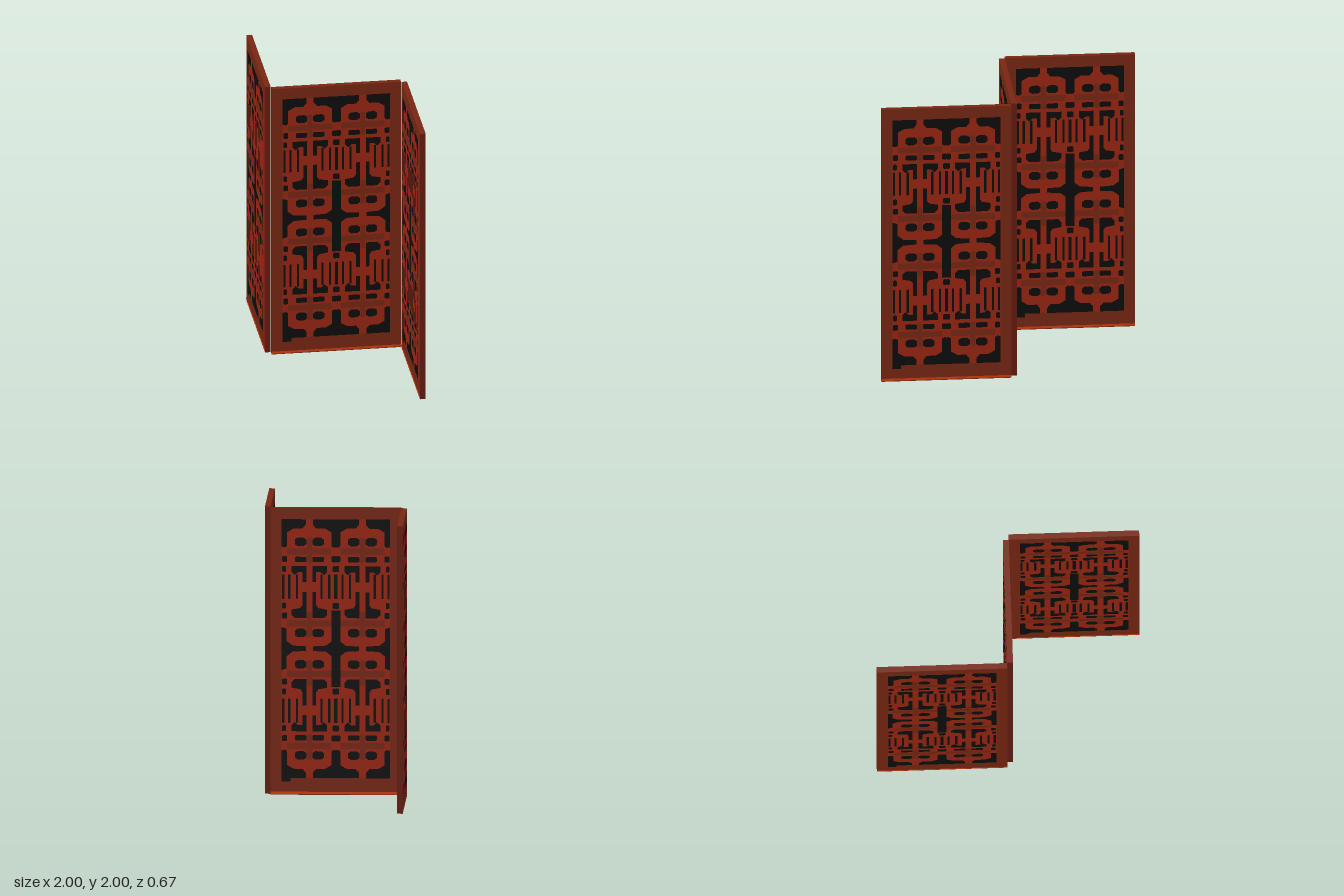
import * as THREE from 'three';
import { mergeGeometries } from 'three/addons/utils/BufferGeometryUtils.js';

const W = 0.9, H = 2, T = 0.04;

const mat = (name, color) => {
  const m = new THREE.MeshStandardMaterial({ color });
  m.name = name;
  return m;
};

// Pattern units: a panel face spans u 0..119 and v 0..375 (v runs downward)
const point = ([u, v]) => new THREE.Vector2((u / 119 - 0.5) * W, H - (v / 375) * H);

// Rectangle with cut corners
const rect = (u0, v0, u1, v1, c = 1) => [
  [u0 + c, v0], [u1 - c, v0], [u1, v0 + c], [u1, v1 - c],
  [u1 - c, v1], [u0 + c, v1], [u0, v1 - c], [u0, v0 + c],
];

// Adds mirrored copies of outlines about a line of constant u or v
const mirrorU = (list, c) => [...list, ...list.map((o) => o.map(([u, v]) => [2 * c - u, v]))];
const mirrorV = (list, c) => [...list, ...list.map((o) => o.map(([u, v]) => [u, 2 * c - v]))];

// The fretwork has two columns, two rows, and each column is symmetric too
const COLUMN = 35.25, CENTRE_U = 59.5, CENTRE_V = 184, KNOT_V = 104;
const repeat = (list) => mirrorV(mirrorU(mirrorU(list, COLUMN), CENTRE_U), CENTRE_V);

// Flat painted layer made from outlines
function layer(outlines, lift) {
  const parts = outlines.map((o) => new THREE.ShapeGeometry(new THREE.Shape(o.map(point))));
  return mergeGeometries(parts).translate(0, 0, T / 2 + lift);
}

// Black openings of the fretwork
function openingOutlines() {
  const windows = mirrorV([rect(22, 39, 32.5, 50, 2.5), rect(22, 64, 32.5, 71)], KNOT_V);
  const slots = [10.5, 16, 23].map((u) => rect(u, 87, u + 2, 119, 0.5));
  const edgeGaps = mirrorV([rect(10.5, 63, 15, 71), rect(10.5, 76, 14, 84)], KNOT_V);
  // stepped openings above and below the middle knot
  const steps = [
    [[19, 76], [32.5, 76], [32.5, 97], [29, 97], [29, 84], [25, 84], [22, 88], [19, 84]],
    [[29, 110], [32.5, 110], [32.5, 144], [22, 144], [19, 140], [19, 133], [27, 131], [29, 127]],
  ];
  // rounded surrounds of the upper and lower boxes
  const surrounds = [
    [[10, 15], [32, 15], [32, 22], [29, 27], [21, 27], [15, 32], [15, 50], [13, 52], [10, 51]],
    [[10, 156], [14.5, 158], [14.5, 174], [20, 180], [32, 181], [32, 184], [10, 184]],
  ];
  const stems = mirrorV([rect(55.5, 134, 63.5, 176, 0)], CENTRE_V);
  const corner = rect(10, 350, 18, 358, 0);
  return [...repeat([...windows, ...slots, ...edgeGaps, ...steps, ...surrounds]), ...stems, corner];
}

export function createModel() {
  const frameMat = mat('frame brown', 0x762612);
  const edgeMat = mat('edge brown', 0x651c0e);
  const latticeMat = mat('lattice red', 0x982511);
  const blackMat = mat('opening black', 0x0d0d0d);
  const stripMat = mat('foot strip orange', 0xd43c10);

  // Darker rails between the windows
  const rails = repeat(mirrorV([rect(15, 53, COLUMN, 61, 0), rect(33, 39, COLUMN, 72, 0)], KNOT_V));

  const boardGeo = new THREE.BoxGeometry(W, H, T).translate(0, H / 2, 0);
  const boardMats = [edgeMat, edgeMat, frameMat, frameMat, frameMat, frameMat];
  const layers = [
    ['lattice', layer([rect(10, 15, 109, 353, 0)], 0.0008), latticeMat],
    ['rails', layer(rails, 0.0014), frameMat],
    ['openings', layer(openingOutlines(), 0.002), blackMat],
    ['footStrip', layer([rect(0, 371, 119, 374, 0)], 0.0008), stripMat],
  ];

  const model = new THREE.Group();
  model.name = 'foldingScreen';

  const add = (parent, name, geometry, material) => {
    const mesh = new THREE.Mesh(geometry, material);
    mesh.name = name;
    parent.add(mesh);
  };

  // Three panels folded in a zigzag, decorated on both sides
  ['rightPanel', 'middlePanel', 'leftPanel'].forEach((name, i) => {
    const panel = new THREE.Group();
    panel.name = name;
    panel.position.x = (i - 1) * 0.667;
    panel.rotation.y = (i === 1 ? 1 : -1) * Math.PI / 4;
    add(panel, 'board', boardGeo, boardMats);
    ['frontFretwork', 'backFretwork'].forEach((side, k) => {
      const face = new THREE.Group();
      face.name = side;
      face.rotation.y = k * Math.PI;
      for (const [part, geometry, material] of layers) add(face, part, geometry, material);
      panel.add(face);
    });
    model.add(panel);
  });

  return model;
}
